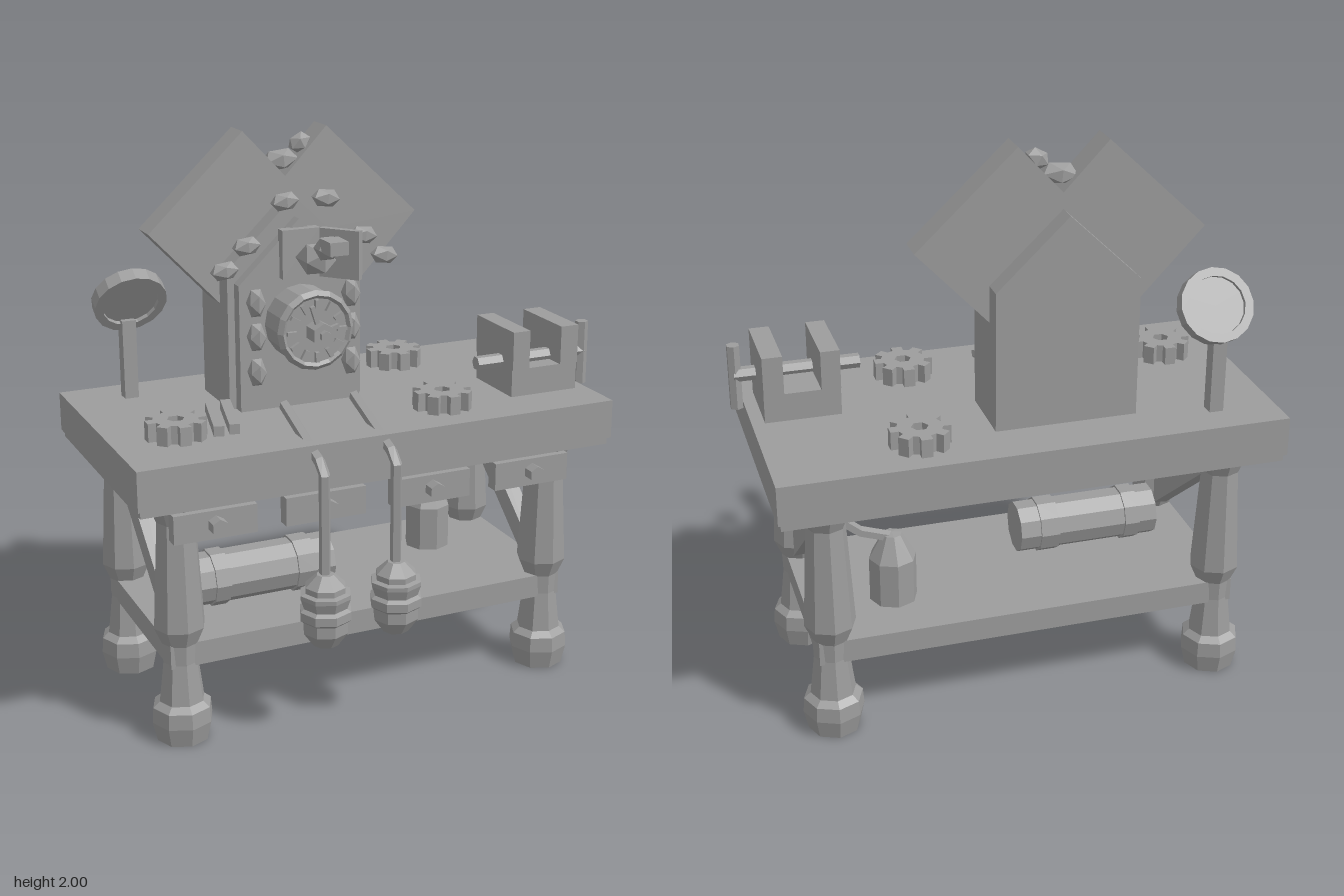
import * as THREE from 'three';

export function createModel() {
  const model = new THREE.Group();
  const grey = new THREE.MeshStandardMaterial({ color: 0x9c9c9c, flatShading: true });
  grey.name = 'plain grey';

  const add = (name, geo, x = 0, y = 0, z = 0) => {
    const m = new THREE.Mesh(geo, grey);
    m.name = name;
    m.position.set(x, y, z);
    model.add(m);
    return m;
  };
  // box from its min and max corners
  const box = (name, x0, x1, y0, y1, z0, z1) =>
    add(name, new THREE.BoxGeometry(x1 - x0, y1 - y0, z1 - z0),
      (x0 + x1) / 2, (y0 + y1) / 2, (z0 + z1) / 2);
  const lathe = (name, pts, sides, x, y, z) =>
    add(name, new THREE.LatheGeometry(pts.map(p => new THREE.Vector2(p[0], p[1])), sides), x, y, z);
  const blob = (name, x, y, z, sx, sy, sz, turn = 0) => {
    const m = add(name, new THREE.IcosahedronGeometry(1, 0), x, y, z);
    m.scale.set(sx, sy, sz);
    m.rotation.z = turn;
    return m;
  };
  const tube = (name, pts, r, sides) => {
    const path = new THREE.CurvePath();
    const v = pts.map(p => new THREE.Vector3(...p));
    for (let i = 1; i < v.length; i++) path.add(new THREE.LineCurve3(v[i - 1], v[i]));
    return add(name, new THREE.TubeGeometry(path, 12, r, sides));
  };
  const extrude = (name, shape, depth, x, y, z) =>
    add(name, new THREE.ExtrudeGeometry(shape, { depth, bevelEnabled: false, curveSegments: 8 }), x, y, z);

  // --- Workbench ---
  box('tableTop', -0.905, 0.86, 0.905, 1.045, -0.535, 0.37);
  box('tableTopLip', -0.895, 0.85, 0.88, 0.905, -0.525, 0.36);
  const legProfile = [[0, 0], [0.092, 0], [0.108, 0.07], [0.104, 0.125], [0.08, 0.145], [0.062, 0.29],
    [0.064, 0.36], [0.09, 0.42], [0.068, 0.8], [0.092, 0.86], [0.092, 0.89], [0, 0.89]];
  for (const x of [-0.73, 0.68]) {
    for (const z of [0.217, -0.376]) lathe('leg', legProfile, 8, x, 0, z);
    const brace = add('legBrace', new THREE.BoxGeometry(0.06, 0.08, 0.72), x, 0.62, -0.08);
    brace.rotation.x = 0.68;
  }
  box('shelf', -0.78, 0.73, 0.28, 0.365, -0.425, 0.265);

  // drawers under the front edge
  for (const x of [-0.63, -0.235, 0.165, 0.56]) {
    box('drawer', x - 0.146, x + 0.146, 0.757, 0.857, 0.28, 0.33);
    add('drawerKnob', new THREE.CylinderGeometry(0.03, 0.03, 0.05, 6), x, 0.81, 0.35).rotation.x = Math.PI / 2;
  }

  // --- Clock house ---
  const cx = -0.165;
  const gable = (half, eave, peak) => new THREE.Shape([[-half, 0], [half, 0], [half, eave], [0, peak], [-half, eave]]
    .map(p => new THREE.Vector2(...p)));
  extrude('clockBody', gable(0.25, 0.495, 0.735), 0.255, cx, 1.045, -0.35);
  extrude('clockFront', gable(0.225, 0.45, 0.665), 0.045, cx, 1.045, -0.095);
  // crossed roof slabs: each starts at its outer top edge and runs into the body
  for (const s of [-1, 1]) {
    const p = [[0.155, 2.0], [0.5, 1.675], [0.122, 1.275], [-0.223, 1.6]]
      .map(([x, y]) => new THREE.Vector2(s * x, y));
    extrude('roofSlab', new THREE.Shape(p), 0.105, cx, 0, -0.275);
  }
  blob('roofOrnament', cx, 1.885, -0.22, 0.07, 0.04, 0.05, 0.1);
  blob('roofOrnament', -0.09, 1.94, -0.22, 0.045, 0.035, 0.035, 0.5);

  // leaves along the gable and down the sides
  for (const s of [-1, 1]) {
    for (const [dx, y] of [[0.075, 1.785], [0.215, 1.645], [0.295, 1.568]])
      blob('gableLeaf', cx + s * dx, y, 0.005, 0.054, 0.034, 0.03, -s * 0.12);
    for (const y of [1.44, 1.32, 1.195])
      blob('sideLeaf', cx + s * 0.177, y, -0.015, 0.033, 0.056, 0.04);
  }

  // clock drum, rim, hour marks and hub
  const drum = (name, r, z0, z1, sides) => {
    add(name, new THREE.CylinderGeometry(r, r, z1 - z0, sides), cx, 1.35, (z0 + z1) / 2).rotation.x = Math.PI / 2;
  };
  drum('clockDrum', 0.132, -0.05, 0.09, 16);
  add('clockRim', new THREE.TorusGeometry(0.125, 0.016, 4, 16), cx, 1.35, 0.085);
  drum('clockHub', 0.042, 0.08, 0.16, 6);
  drum('clockHubTip', 0.02, 0.15, 0.18, 6);
  for (let i = 0; i < 12; i++) {
    const a = i * Math.PI / 6;
    add('hourMark', new THREE.BoxGeometry(0.014, 0.035, 0.02),
      cx + Math.sin(a) * 0.092, 1.35 + Math.cos(a) * 0.092, 0.095).rotation.z = -a;
  }
  const hand = (len, a) => {
    add('clockHand', new THREE.BoxGeometry(0.016, len, 0.015),
      cx + Math.sin(a) * len / 2, 1.35 + Math.cos(a) * len / 2, 0.125).rotation.z = -a;
  };
  hand(0.1, -0.3);
  hand(0.07, 1.3);

  // bird with its hatch and open door
  box('hatch', -0.24, -0.1, 1.51, 1.68, -0.06, -0.02);
  add('hatchDoor', new THREE.BoxGeometry(0.15, 0.17, 0.025), -0.048, 1.595, 0.035).rotation.y = -0.87;
  blob('birdBody', cx, 1.6, 0.09, 0.062, 0.06, 0.095);
  blob('birdHead', cx, 1.655, 0.185, 0.045, 0.045, 0.05);
  box('birdBeak', cx - 0.033, cx + 0.033, 1.65, 1.695, 0.2, 0.285);

  // weights hanging over the front edge
  const weightProfile = [[0, 0.36], [0.045, 0.36], [0.08, 0.41], [0.08, 0.45], [0.092, 0.46], [0.092, 0.49],
    [0.078, 0.5], [0.09, 0.535], [0.09, 0.55], [0.072, 0.555], [0.072, 0.575], [0.03, 0.615], [0, 0.615]];
  for (const x of [-0.29, -0.028]) {
    tube('weightCord', [[x, 1.105, 0.1], [x, 0.985, 0.44], [x, 0.58, 0.44]], 0.02, 5);
    lathe('weight', weightProfile, 8, x, 0, 0.443);
  }

  // --- Tools on the bench ---
  const gear = new THREE.Shape();
  for (let i = 0; i < 8; i++) {
    for (const [r, d] of [[0.077, -0.25], [0.105, -0.19], [0.105, 0.19], [0.077, 0.25]]) {
      const a = i * Math.PI / 4 + d;
      const px = Math.cos(a) * r, py = Math.sin(a) * r;
      i === 0 && d === -0.25 ? gear.moveTo(px, py) : gear.lineTo(px, py);
    }
  }
  gear.closePath();
  gear.holes.push(new THREE.Path(Array.from({ length: 6 }, (_, i) =>
    new THREE.Vector2(Math.cos(-i * Math.PI / 3) * 0.03, Math.sin(-i * Math.PI / 3) * 0.03))));
  for (const [x, z] of [[-0.68, 0.1], [0.275, 0.18], [0.35, -0.365]])
    extrude('gear', gear, 0.065, x, 1.045, z).rotation.x = -Math.PI / 2;

  for (const x of [-0.545, -0.49])
    add('fileTool', new THREE.BoxGeometry(0.035, 0.035, 0.27), x, 1.092, 0.105).rotation.y = -0.24;

  // magnifier on a post
  const magnifier = new THREE.Group();
  magnifier.name = 'magnifier';
  magnifier.position.set(-0.685, 1.41, -0.352);
  magnifier.rotation.x = 0.57;
  const rim = new THREE.Shape().absarc(0, 0, 0.13, 0, Math.PI * 2);
  rim.holes.push(new THREE.Path().absarc(0, 0, 0.1, 0, Math.PI * 2, true));
  const ring = extrude('magnifierRim', rim, 0.05, 0, 0, -0.025);
  const lens = add('magnifierLens', new THREE.CylinderGeometry(0.102, 0.102, 0.02, 16));
  lens.rotation.x = Math.PI / 2;
  magnifier.add(ring, lens);
  model.add(magnifier);
  box('magnifierPost', -0.71, -0.66, 1.045, 1.33, -0.415, -0.365);

  // bench vise
  box('viseBase', 0.55, 0.815, 1.045, 1.145, -0.07, 0.19);
  box('viseJaw', 0.55, 0.617, 1.145, 1.285, -0.075, 0.195);
  box('viseJaw', 0.745, 0.815, 1.145, 1.285, -0.075, 0.195);
  add('viseScrew', new THREE.CylinderGeometry(0.026, 0.026, 0.44, 6), 0.67, 1.16, 0.102).rotation.z = Math.PI / 2;
  add('viseHandle', new THREE.CylinderGeometry(0.024, 0.024, 0.235, 6), 0.885, 1.152, 0.105);

  // --- Things on the shelf ---
  const roll = (name, r, x0, x1) => {
    add(name, new THREE.CylinderGeometry(r, r, x1 - x0, 10), (x0 + x1) / 2, 0.465, -0.01).rotation.z = Math.PI / 2;
  };
  roll('tank', 0.094, -0.615, -0.09);
  roll('tankBand', 0.102, -0.545, -0.49);
  roll('tankBand', 0.102, -0.235, -0.165);

  lathe('oilCan', [[0, 0.365], [0.085, 0.365], [0.085, 0.53], [0.035, 0.62], [0, 0.625]], 8, 0.415, 0, -0.19);
  tube('oilCanSpout', [[0.415, 0.605, -0.19], [0.53, 0.645, -0.19], [0.62, 0.72, -0.19]], 0.02, 5);

  return model;
}
